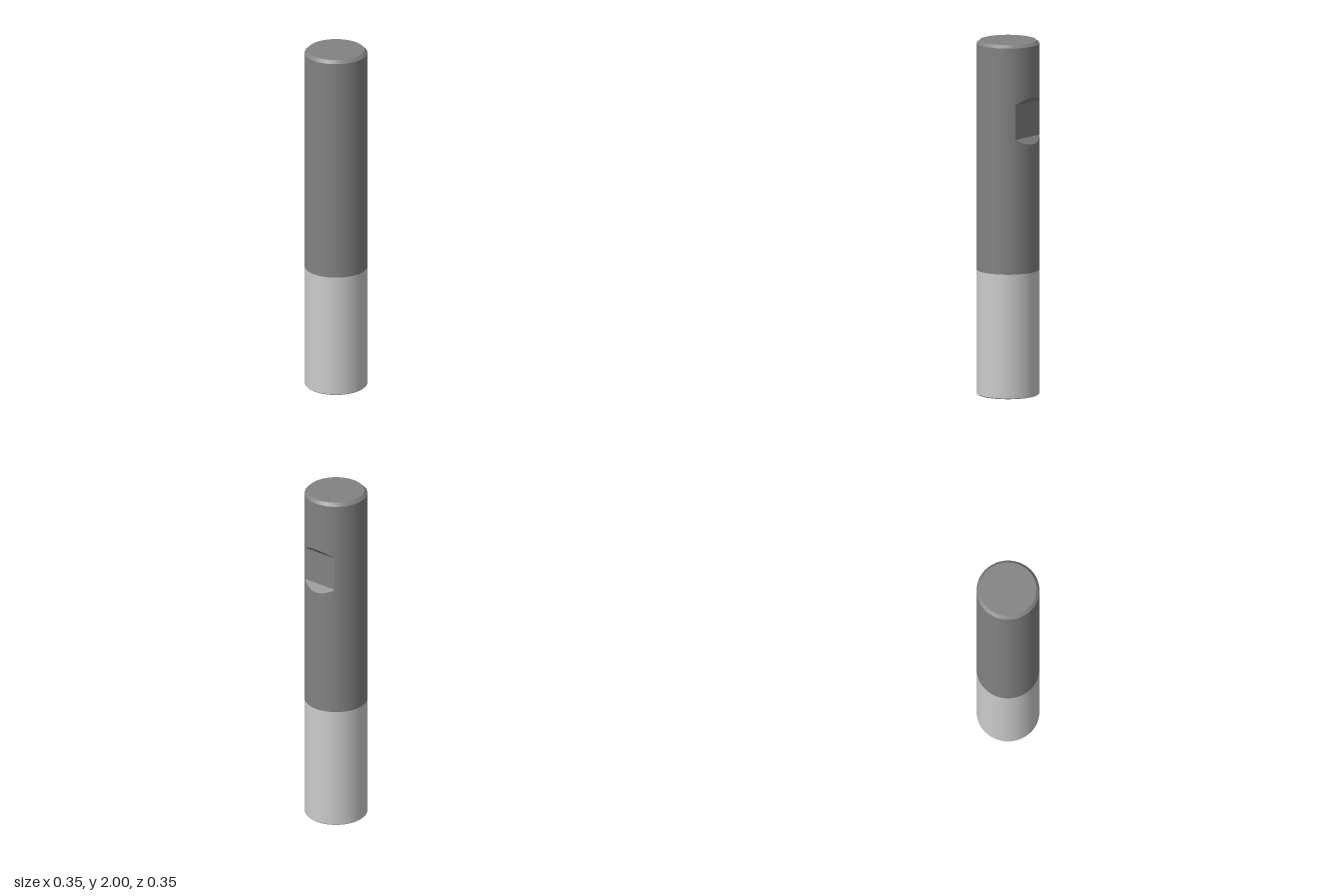
import * as THREE from 'three';
import { mergeGeometries } from 'three/addons/utils/BufferGeometryUtils.js';

const R = 0.175;                       // bar radius
const SPLIT = 0.705, TOP = 2;          // end of the light section, full height
const CHAMFER = 0.017, EDGE = 0.006;   // top and bottom chamfers
const FLAT = 0.139;                    // distance of the notch floor from the axis
const LOW = 1.43, HIGH = 1.697;        // notch limits on the outer surface
const HALF = Math.acos(FLAT / R);      // half angle covered by the notch

const onBar = (a, y, r = R) => new THREE.Vector3(r * Math.sin(a), y, r * Math.cos(a));
const radial = (a) => onBar(a, 0, 1);

// Ruled strip between a lower and an upper curve, both functions of the angle
function strip(from, to, count, lower, upper, normal) {
  const pos = [], nor = [], index = [];
  for (let i = 0; i <= count; i++) {
    const a = from + (to - from) * i / count;
    const n = normal(a).normalize();
    pos.push(...lower(a), ...upper(a));
    nor.push(...n, ...n);
    if (i < count) {
      const k = i * 2;
      index.push(k, k + 2, k + 3, k, k + 3, k + 1);
    }
  }
  const g = new THREE.BufferGeometry();
  g.setAttribute('position', new THREE.Float32BufferAttribute(pos, 3));
  g.setAttribute('normal', new THREE.Float32BufferAttribute(nor, 3));
  g.setIndex(index);
  return g;
}

// Full ring from radius r0 at y0 to radius r1 at y1
function ring(r0, y0, r1, y1) {
  return strip(0, Math.PI * 2, 96, (a) => onBar(a, y0, r0), (a) => onBar(a, y1, r1),
    (a) => onBar(a, r0 - r1, y1 - y0));
}

function part(name, color, pieces) {
  const mesh = new THREE.Mesh(mergeGeometries(pieces), new THREE.MeshStandardMaterial({ color }));
  mesh.name = name;
  return mesh;
}

export function createModel() {
  const model = new THREE.Group();
  model.name = 'notchedBar';

  // Light lower section with a fine bottom chamfer
  model.add(part('lowerSection', 0xcccccc, [
    ring(0, 0, R - EDGE, 0),
    ring(R - EDGE, 0, R, EDGE),
    ring(R, EDGE, R, SPLIT),
  ]));

  // Dark shank: wall is split around the notch at the back
  const shoulder = TOP - CHAMFER;
  const a0 = Math.PI - HALF, a1 = Math.PI + HALF;
  const depth = (a) => R + R * Math.cos(a);           // how far the wall lies inside the back tangent
  const lowRim = (a) => onBar(a, LOW + depth(a));
  const highRim = (a) => onBar(a, HIGH - depth(a));
  const floorAt = (y) => (a) => new THREE.Vector3(R * Math.sin(a), y, -FLAT);
  const floorLow = floorAt(LOW + R - FLAT), floorHigh = floorAt(HIGH - R + FLAT);
  const base = (a) => onBar(a, SPLIT), crown = (a) => onBar(a, shoulder);
  const facing = (y) => () => new THREE.Vector3(0, y, -1);

  model.add(part('shank', 0x828282, [
    strip(a1 - Math.PI * 2, a0, 76, base, crown, radial),
    strip(a0, a1, 24, base, lowRim, radial),
    strip(a0, a1, 24, highRim, crown, radial),
    ring(R, shoulder, R - CHAMFER, TOP),
    ring(R - CHAMFER, TOP, 0, TOP),
  ]));

  // Clamping notch: flat floor between two 45 degree ramps
  model.add(part('clampingNotch', 0x828282, [
    strip(a0, a1, 24, lowRim, floorLow, facing(1)),
    strip(a0, a1, 24, floorLow, floorHigh, facing(0)),
    strip(a0, a1, 24, floorHigh, highRim, facing(-1)),
  ]));

  return model;
}
